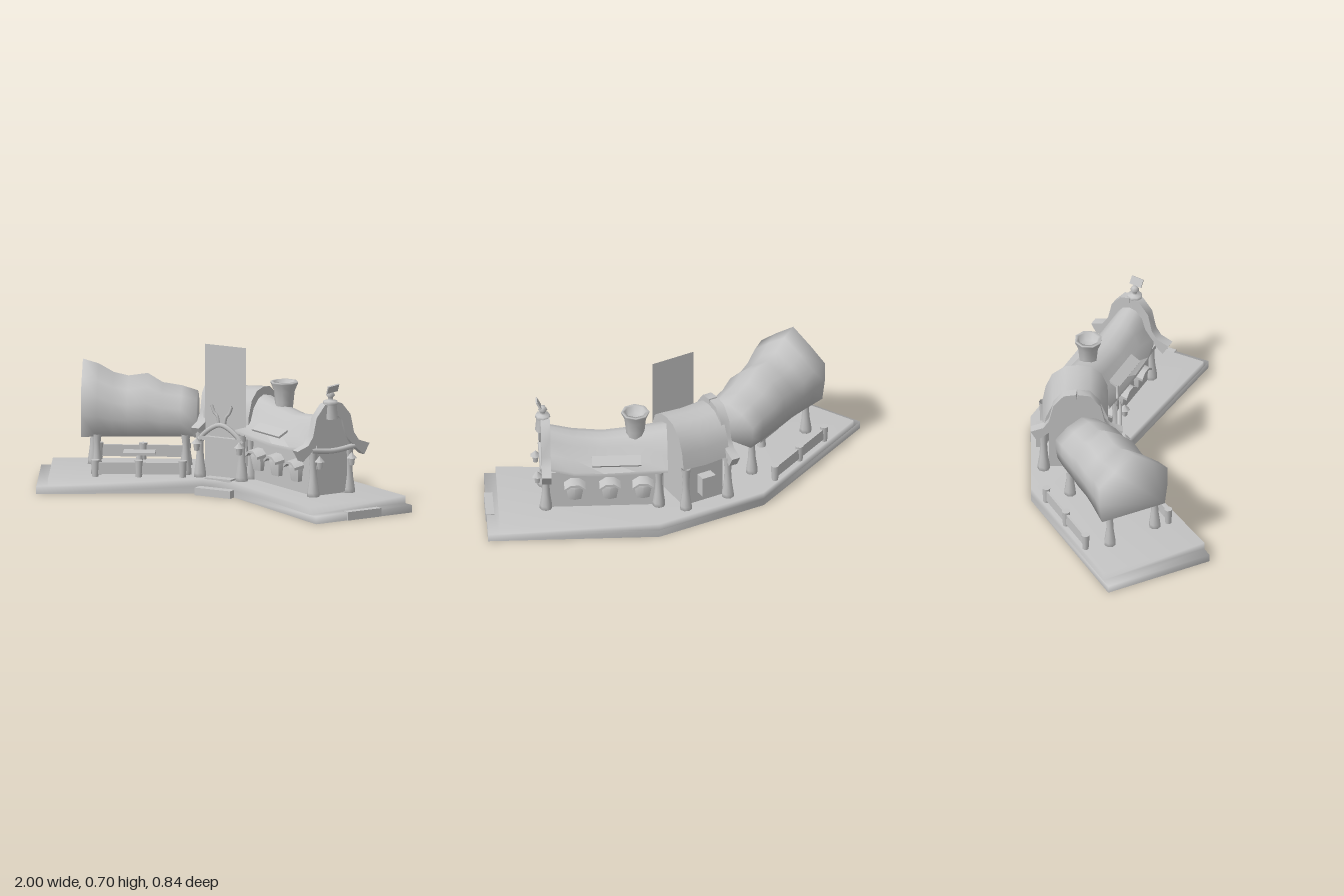
import * as THREE from 'three';
import { toCreasedNormals } from 'three/addons/utils/BufferGeometryUtils.js';

const stone = new THREE.MeshStandardMaterial({ color: 0xc4c4c4, side: THREE.DoubleSide });
stone.name = 'plain grey';
const ARM = Math.atan2(0.447, 0.894);

function add(parent, name, geo, x = 0, y = 0, z = 0, rx = 0, ry = 0, rz = 0) {
  const m = new THREE.Mesh(geo, stone);
  m.name = name;
  m.position.set(x, y, z);
  m.rotation.set(rx, ry, rz);
  parent.add(m);
  return m;
}
function group(parent, name, x = 0, y = 0, z = 0, ry = 0) {
  const g = new THREE.Group();
  g.name = name;
  g.position.set(x, y, z);
  g.rotation.y = ry;
  parent.add(g);
  return g;
}
const box = (w, h, d) => new THREE.BoxGeometry(w, h, d);

function indexed(points, idx) {
  const g = new THREE.BufferGeometry();
  g.setAttribute('position', new THREE.Float32BufferAttribute(points.flat(), 3));
  g.setIndex(idx);
  g.computeVertexNormals();
  return g;
}

// Closed solid through matching rings of [x, y, z] points
function loft(rings, crease = 0.7) {
  const n = rings[0].length, idx = [];
  for (let i = 0; i < rings.length - 1; i++) {
    for (let j = 0; j < n; j++) {
      const a = i * n + j, b = i * n + (j + 1) % n;
      idx.push(a, b, a + n, b, b + n, a + n);
    }
  }
  const last = (rings.length - 1) * n;
  for (let j = 1; j < n - 1; j++) idx.push(0, j + 1, j, last, last + j, last + j + 1);
  return toCreasedNormals(indexed(rings.flat(), idx), crease);
}

// Bell-footed pillar sunk slightly into the platform
function pillar(parent, x, z, top = 0.28, k = 1) {
  const p = [[0, -0.015], [0.03, -0.015], [0.029, 0.02], [0.02, 0.08], [0.016, 0.14], [0.022, top - 0.07]]
    .map(([r, y]) => new THREE.Vector2(r * k, y));
  add(parent, 'pillar', new THREE.LatheGeometry(p, 8), x, 0.07, z);
}

function lantern(parent, x, y, z) {
  const g = group(parent, 'lantern', x, y, z);
  add(g, 'lanternRoof', new THREE.ConeGeometry(0.026, 0.028, 6), 0, 0.03, 0);
  add(g, 'lanternGlass', new THREE.CylinderGeometry(0.017, 0.012, 0.035, 6), 0, 0, 0);
}

// Flared gable boards in the local y-z plane, facing local +x
function gable(parent, peakHalf, lift) {
  const path = [[0, 0.485, 0.028], [0.03, 0.48, 0.03], [0.072, 0.435, 0.026], [0.095, 0.35, 0.022], [0.13, 0.305, 0.019], [0.187, 0.272, 0.03]];
  for (const s of [-1, 1]) {
    const rings = path.map(([u, y, w], i) => {
      const a = path[Math.max(i - 1, 0)], b = path[Math.min(i + 1, path.length - 1)];
      const t = new THREE.Vector2(b[0] - a[0], b[1] - a[1]).normalize();
      const c = i ? u + peakHalf : 0, d = 0.022;
      return [[-1, -1], [1, -1], [1, 1], [-1, 1]].map(([e, f]) =>
        [e * d, y + lift + f * w * t.x, s * (c - f * w * t.y)]);
    });
    add(parent, 'gableBoard', loft(rings, 1));
  }
}

// Bay window facing local +z, with a drooping hood
function bayWindow(parent, x, z, side) {
  const g = group(parent, 'bayWindow', x, 0, z, side < 0 ? Math.PI : 0);
  const ring = (y, w, d) => [[-w, y, -0.03], [w, y, -0.03], [w, y, d * 0.6], [0, y, d], [-w, y, d * 0.6]];
  add(g, 'windowBox', loft([ring(0.125, 0.03, 0.025), ring(0.19, 0.041, 0.038), ring(0.212, 0.034, 0.028)], 0.9));
  const hood = [[-0.05, 0.193], [-0.02, 0.215], [0.02, 0.215], [0.05, 0.193]];
  add(g, 'windowHood', loft(hood.map(([hx, y]) =>
    [[hx, y, -0.02], [hx, y - 0.008, 0.048], [hx, y + 0.004, 0.048], [hx, y + 0.016, -0.02]]), 0.9));
}

// Bent platform: a shell open underneath, with a low ledge at both ends
function platform(root) {
  const g = group(root, 'platform');
  const ring = (k, y) => {
    const x = 0.894 * k, z = 0.447 * k;
    return [[-1 + x, y, -0.06 - z], [-0.28, y, -0.42], [0.28, y, -0.42], [1 - x, y, -0.06 - z],
      [0.755 - x, y, 0.415 - z], [0.08, y, 0.025], [-0.08, y, 0.025], [-0.755 + x, y, 0.415 - z]];
  };
  const rings = [ring(0, 0), ring(0, 0.036), ring(0.055, 0.036), ring(0.055, 0.071)], idx = [];
  for (let i = 0; i < 3; i++) {
    for (let j = 0; j < 8; j++) {
      const a = i * 8 + j, b = i * 8 + (j + 1) % 8;
      idx.push(a, a + 8, b, b, a + 8, b + 8);
    }
  }
  for (const j of [0, 1, 2]) idx.push(24 + j, 30 - j, 25 + j, 24 + j, 31 - j, 30 - j);
  add(g, 'base', indexed(rings.flat(), idx));
  add(g, 'frontStep', box(0.19, 0.036, 0.1), 0, 0.018, 0.025);
  add(g, 'doorStep', box(0.14, 0.012, 0.05), 0, 0.073, 0);
  add(g, 'endStep', box(0.04, 0.04, 0.19), 0.865, 0.02, 0.17, 0, -ARM, 0);
}

// Left wing: covered terrace with fences and a table
function terrace(root) {
  const g = group(root, 'terrace', -0.47, 0, -0.06, ARM);
  // along arm, half width, shoulder height, peak height
  const st = [[-0.265, 0.173, 0.45, 0.59], [-0.19, 0.162, 0.44, 0.568], [-0.12, 0.152, 0.41, 0.528], [-0.05, 0.145, 0.4, 0.512],
    [0.04, 0.145, 0.41, 0.525], [0.11, 0.14, 0.385, 0.482], [0.2, 0.138, 0.38, 0.468], [0.275, 0.132, 0.36, 0.445]];
  const rings = st.map(([x, w, s, p], i) => {
    const round = 0.48 + 0.02 * i;
    const r = [[w * 0.95, 0.248], [w * 1.03, (s + 0.25) / 2], [w * 1.04, s], [w * 0.57, s + (p - s) * round]];
    return [...r.map(([z, y]) => [x, y, z]), [x, p, 0], ...r.reverse().map(([z, y]) => [x, y, -z])];
  });
  add(g, 'canopy', loft(rings, Math.PI));
  for (const [x, z] of [[-0.22, -0.1], [-0.19, 0.15], [0.215, -0.09], [0.225, 0.14]]) pillar(g, x, z, 0.26, 0.95);
  for (const s of [-1, 1]) {
    const cx = s < 0 ? 0.005 : 0.01, z = s * 0.218;
    for (const k of [-1, 0, 1]) {
      add(g, 'fencePost', new THREE.CylinderGeometry(0.02, 0.015, 0.08, 8), cx + k * 0.205, 0.11, z);
    }
    add(g, 'fencePanel', box(0.41, 0.055, 0.012), cx, 0.112, z);
  }
  add(g, 'tableTop', box(0.15, 0.012, 0.09), 0, 0.145, 0);
  add(g, 'tableLeg', new THREE.CylinderGeometry(0.012, 0.022, 0.075, 8), 0, 0.107, 0);
}

// Middle hall with a barrel roof, porch arch and tall board
function hall(root) {
  const g = group(root, 'hall');
  add(g, 'hallWalls', box(0.21, 0.25, 0.27), 0, 0.195, -0.2);
  const prof = [[-0.058, 0.29], [-0.06, 0.37], [-0.09, 0.445], [-0.14, 0.482], [-0.2, 0.492], [-0.26, 0.485], [-0.32, 0.44], [-0.35, 0.37], [-0.365, 0.29]];
  add(g, 'barrelRoof', loft([-0.125, 0, 0.12].map((x, i) =>
    prof.map(([z, y]) => [x, i === 1 ? y - 0.008 : y, z])), 0.9));
  add(g, 'tallBoard', new THREE.PlaneGeometry(0.22, 0.63), 0, 0.385, -0.05);
  for (const x of [-0.12, 0.105]) for (const z of [-0.02, -0.36]) pillar(g, x, z, 0.29);
  gable(group(g, 'sideGable', -0.13, 0, -0.205, Math.PI), 0.015, 0.008);
  // porch arch with curled horns above
  const arch = new THREE.CatmullRomCurve3([[-0.115, 0.25], [-0.08, 0.29], [0, 0.33], [0.08, 0.29], [0.115, 0.25]]
    .map(([x, y]) => new THREE.Vector3(x, y, -0.005)));
  add(g, 'porchArch', new THREE.TubeGeometry(arch, 14, 0.012, 6));
  add(g, 'porchBeam', box(0.22, 0.018, 0.024), 0, 0.262, -0.005);
  for (const s of [-1, 1]) {
    const horn = new THREE.CatmullRomCurve3([[0.015, 0.33], [0.025, 0.37], [0.04, 0.385], [0.055, 0.42]]
      .map(([x, y]) => new THREE.Vector3(s * x, y, -0.015)));
    add(g, 'archHorn', new THREE.TubeGeometry(horn, 8, 0.007, 6));
    lantern(g, s * 0.115, 0.22, 0.02);
  }
  add(g, 'backWindow', box(0.07, 0.1, 0.05), 0, 0.18, -0.37);
}

// Right wing: long cottage, origin at its end gable
function cottage(root) {
  const g = group(root, 'cottage', 0.63, 0, 0.055, -ARM);
  add(g, 'cottageWalls', box(0.55, 0.24, 0.19), -0.28, 0.19, 0);
  // sagging roof with flared eaves: along, half width, eaves, ridge
  const st = [[-0.57, 0.165, 0.29, 0.455], [-0.42, 0.16, 0.28, 0.43], [-0.27, 0.155, 0.27, 0.415], [-0.13, 0.15, 0.275, 0.43], [0, 0.12, 0.29, 0.465]];
  add(g, 'cottageRoof', loft(st.map(([x, w, e, r]) => {
    const half = [[w, e], [w, e + 0.015], [w * 0.67, e + (r - e) * 0.38], [w * 0.5, e + (r - e) * 0.75], [w * 0.25, r - 0.008]];
    return [...half.map(([z, y]) => [x, y, z]), [x, r, 0], ...half.reverse().map(([z, y]) => [x, y, -z])];
  }), 0.9));
  for (const s of [-1, 1]) {
    for (const x of [-0.135, -0.3, -0.455]) bayWindow(g, x, s * 0.1, s);
    add(g, 'roofPlank', box(0.23, 0.01, 0.055), -0.33, 0.335, s * 0.125, s * 0.5, 0, 0);
    add(g, 'eavesBeam', box(0.52, 0.022, 0.02), -0.28, 0.275, s * 0.125);
    pillar(g, 0, s * 0.1, 0.28);
    pillar(g, -0.53, s * 0.1, 0.28);
    lantern(g, 0.04, 0.225, s * 0.09);
  }
  // chimney
  const c = [[0.04, 0], [0.045, 0.04], [0.05, 0.09], [0.066, 0.128], [0.066, 0.135], [0.05, 0.135], [0.04, 0.1], [0, 0.1]];
  add(g, 'chimney', new THREE.LatheGeometry(c.map(p => new THREE.Vector2(...p)), 8), -0.423, 0.405, -0.018);
  // end gable
  const end = group(g, 'endGable');
  gable(end, 0, 0);
  add(end, 'gablePanel', loft([-0.012, 0.008].map(x =>
    [[x, 0.08, 0.085], [x, 0.36, 0.085], [x, 0.45, 0.035], [x, 0.45, -0.035], [x, 0.36, -0.085], [x, 0.08, -0.085]]), 0.2));
  const beam = new THREE.CatmullRomCurve3([[-0.12, 0.292], [0, 0.28], [0.12, 0.292]]
    .map(([z, y]) => new THREE.Vector3(0.015, y, z)));
  add(end, 'crossBeam', new THREE.TubeGeometry(beam, 10, 0.013, 7));
  // finial with a small plate
  const f = [[0.036, 0], [0.03, 0.065], [0.036, 0.07], [0.034, 0.085], [0.012, 0.088], [0.012, 0.1], [0.022, 0.113], [0.012, 0.13], [0, 0.13]];
  add(end, 'finial', new THREE.LatheGeometry(f.map(p => new THREE.Vector2(...p)), 8), 0.01, 0.435, 0.01);
  add(end, 'finialPlate', box(0.008, 0.04, 0.06), 0.03, 0.58, 0.01, 0.12, 0, -0.5);
}

export function createModel() {
  const root = new THREE.Group();
  root.name = 'village';
  platform(root);
  terrace(root);
  hall(root);
  cottage(root);
  return root;
}
